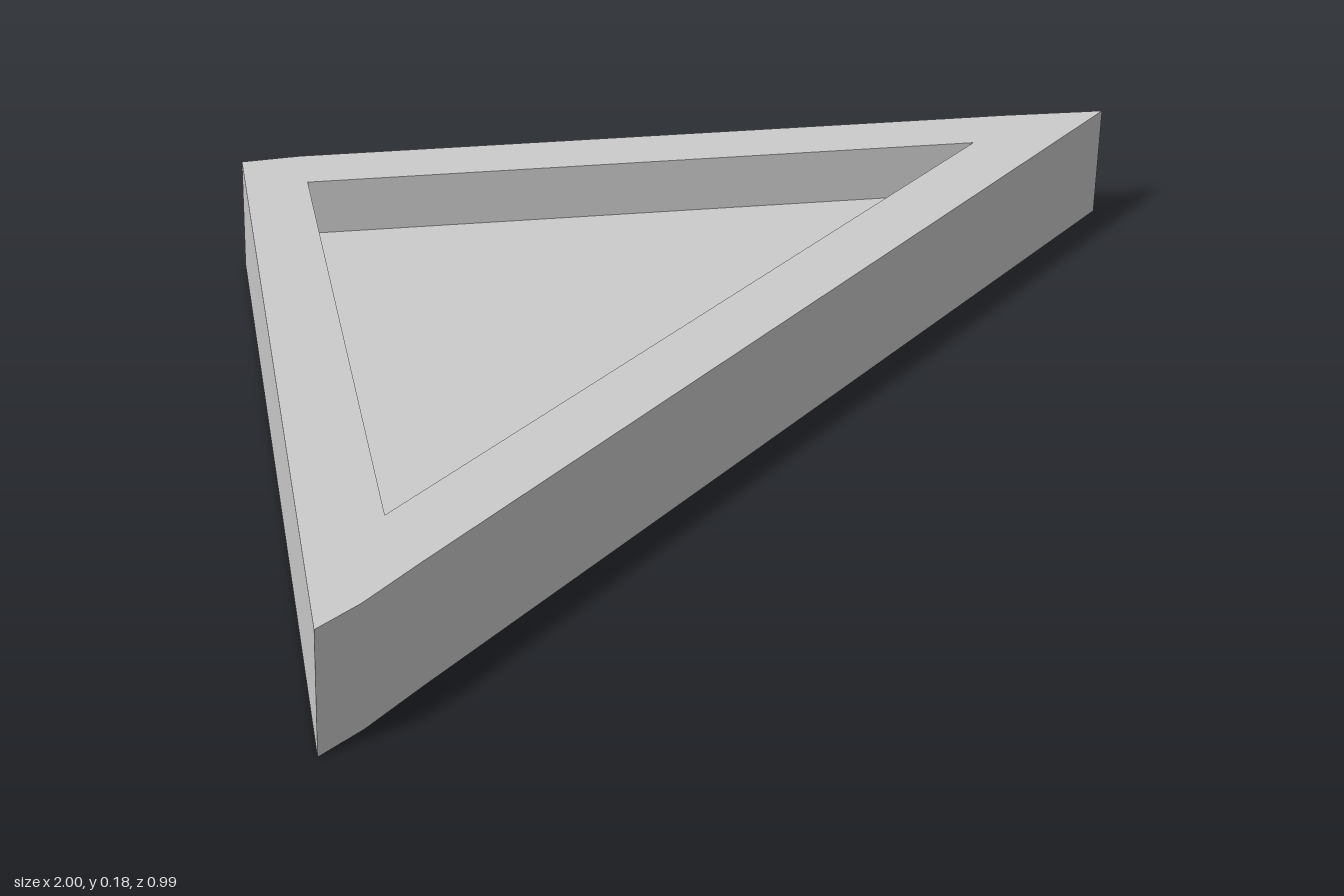
import * as THREE from 'three';

const HEIGHT = 0.177;
const PANEL = 0.004; // thickness of the thin infill

// Outlines as [x, z], seen from above
const OUTER = [[-1, 0.485], [-0.92, 0.492], [-0.8, 0.49], [1, 0.486], [0.89, 0.37], [0.08, -0.435], [0.008, -0.493]];
const INNER = [[-0.737, 0.382], [0.758, 0.384], [0.008, -0.36]];

const toPoints = (outline) => outline.map(([x, z]) => new THREE.Vector2(x, -z));

// Extrudes a flat shape upwards from height y
function slab(name, shape, depth, y) {
  const geometry = new THREE.ExtrudeGeometry(shape, { depth, bevelEnabled: false });
  geometry.rotateX(-Math.PI / 2);
  geometry.translate(0, y, 0);
  const mesh = new THREE.Mesh(geometry, new THREE.MeshStandardMaterial({ color: 0xcccccc, flatShading: true }));
  mesh.name = name;
  return mesh;
}

export function createModel() {
  const model = new THREE.Group();
  model.name = 'triangularTray';

  // Triangular rim with an open middle
  const rim = new THREE.Shape(toPoints(OUTER));
  rim.holes.push(new THREE.Path(toPoints(INNER)));
  model.add(slab('rim', rim, HEIGHT, 0));

  // Thin panel halfway up, recessed from above and below
  const panel = new THREE.Shape(toPoints(INNER));
  model.add(slab('recessedPanel', panel, PANEL, (HEIGHT - PANEL) / 2));

  return model;
}
